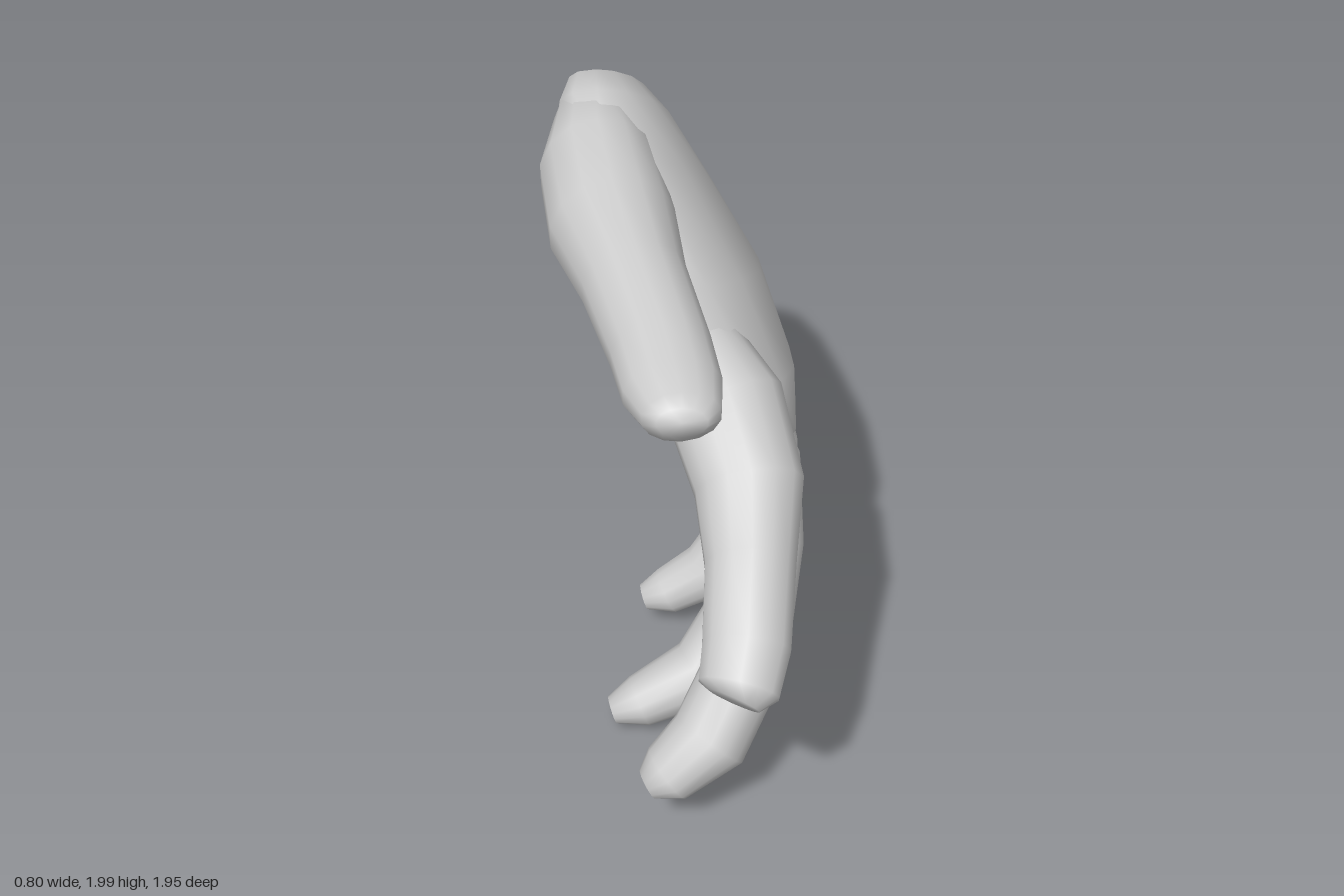
import * as THREE from 'three';

const SIDES = 14;
const material = new THREE.MeshStandardMaterial({ color: 0xcccccc });

// Skin a list of rings (arrays of SIDES points) and close both ends.
function loft(name, rings) {
  const pos = [], index = [];
  rings.forEach(r => r.forEach(p => pos.push(p.x, Math.max(p.y, 0), p.z)));
  for (let i = 0; i < rings.length - 1; i++) {
    for (let j = 0; j < SIDES; j++) {
      const k = (j + 1) % SIDES;
      const a = i * SIDES + j, b = i * SIDES + k;
      index.push(a, b, a + SIDES, b, b + SIDES, a + SIDES);
    }
  }
  [0, rings.length - 1].forEach((i, end) => {
    const c = new THREE.Vector3();
    rings[i].forEach(p => c.addScaledVector(p, 1 / SIDES));
    const centre = pos.length / 3;
    pos.push(c.x, Math.max(c.y, 0), c.z);
    for (let j = 0; j < SIDES; j++) {
      const a = i * SIDES + j, b = i * SIDES + (j + 1) % SIDES;
      if (end) index.push(a, b, centre);
      else index.push(b, a, centre);
    }
  });
  const geo = new THREE.BufferGeometry();
  geo.setAttribute('position', new THREE.Float32BufferAttribute(pos, 3));
  geo.setIndex(index);
  geo.computeVertexNormals();
  const mesh = new THREE.Mesh(geo, material);
  mesh.name = name;
  return mesh;
}

// A finger: stations of [x, y, z, half width, half depth] along its bone.
function finger(name, stations) {
  const pts = stations.map(s => new THREE.Vector3(s[0], s[1], s[2]));
  const xAxis = new THREE.Vector3(1, 0, 0);
  const rings = stations.map(([, , , w, h], i) => {
    const t = pts[Math.min(i + 1, pts.length - 1)].clone().sub(pts[Math.max(i - 1, 0)]).normalize();
    const side = t.clone().cross(xAxis).normalize();
    const normal = t.clone().cross(side);
    return Array.from({ length: SIDES }, (_, j) => {
      const a = j / SIDES * Math.PI * 2;
      return pts[i].clone().addScaledVector(side, w * Math.cos(a)).addScaledVector(normal, h * Math.sin(a));
    });
  });
  return loft(name, rings);
}

// The palm: each section runs from the thumb edge to the outer edge,
// [thumb x, y, z, outer x, y, z, depth of the back, depth of the inside].
function palm(sections) {
  const soften = v => Math.sign(v) * Math.pow(Math.abs(v), 0.85);
  return loft('palm', sections.map(([ax, ay, az, bx, by, bz, back, inside]) => {
    const A = new THREE.Vector3(ax, ay, az), B = new THREE.Vector3(bx, by, bz);
    return Array.from({ length: SIDES }, (_, j) => {
      const a = j / SIDES * Math.PI * 2;
      const s = Math.sin(a);
      const p = A.clone().lerp(B, (1 - soften(Math.cos(a))) / 2);
      p.x -= s > 0 ? inside * soften(s) : back * s;
      return p;
    });
  }));
}

export function createModel() {
  const hand = new THREE.Group();
  hand.name = 'hand';

  // Palm, from the rounded wrist to the webbing between the fingers
  hand.add(palm([
    [-0.22, 1.90, -0.70, -0.20, 1.78, -0.83, 0.05, 0.05],
    [-0.24, 1.97, -0.57, -0.18, 1.65, -0.905, 0.13, 0.11],
    [-0.23, 1.995, -0.40, -0.15, 1.47, -0.965, 0.19, 0.16],
    [-0.20, 1.90, -0.14, -0.10, 1.34, -0.935, 0.26, 0.21],
    [-0.04, 1.57, 0.04, 0.00, 1.17, -0.85, 0.29, 0.22],
    [0.12, 1.29, 0.18, 0.13, 0.95, -0.69, 0.245, 0.225],
    [0.20, 1.09, 0.24, 0.26, 0.80, -0.56, 0.15, 0.20],
    [0.22, 1.03, 0.14, 0.29, 0.74, -0.49, 0.07, 0.11],
  ]));

  // Thumb, with its pad running back to the wrist
  hand.add(finger('thumb', [
    [-0.22, 1.80, -0.68, 0.07, 0.07],
    [-0.24, 1.81, -0.48, 0.17, 0.13],
    [-0.23, 1.775, -0.30, 0.205, 0.18],
    [-0.19, 1.72, -0.06, 0.19, 0.19],
    [-0.13, 1.70, 0.20, 0.155, 0.155],
    [-0.06, 1.66, 0.48, 0.13, 0.145],
    [-0.03, 1.645, 0.65, 0.11, 0.14],
    [-0.01, 1.65, 0.77, 0.075, 0.11],
    [-0.01, 1.67, 0.825, 0.04, 0.07],
  ]));

  // Four fingers, curling towards the palm side
  hand.add(finger('indexFinger', [
    [0.02, 1.42, -0.08, 0.09, 0.10],
    [0.135, 1.24, 0.16, 0.17, 0.18],
    [0.20, 1.09, 0.37, 0.155, 0.165],
    [0.195, 0.975, 0.59, 0.135, 0.135],
    [0.175, 0.855, 0.81, 0.12, 0.13],
    [0.15, 0.79, 0.91, 0.105, 0.12],
    [0.135, 0.77, 0.935, 0.06, 0.08],
  ]));
  hand.add(finger('middleFinger', [
    [0.16, 1.18, -0.04, 0.10, 0.11],
    [0.22, 0.98, 0.10, 0.15, 0.155],
    [0.245, 0.78, 0.25, 0.145, 0.135],
    [0.20, 0.50, 0.475, 0.14, 0.125],
    [0.08, 0.31, 0.62, 0.13, 0.125],
    [-0.05, 0.22, 0.675, 0.11, 0.095],
    [-0.11, 0.19, 0.69, 0.06, 0.05],
  ]));
  hand.add(finger('ringFinger', [
    [0.19, 1.08, -0.21, 0.10, 0.11],
    [0.24, 0.87, -0.14, 0.14, 0.145],
    [0.265, 0.65, -0.07, 0.14, 0.13],
    [0.22, 0.37, 0.07, 0.135, 0.12],
    [0.08, 0.17, 0.17, 0.125, 0.12],
    [-0.13, 0.09, 0.22, 0.11, 0.085],
    [-0.22, 0.065, 0.235, 0.06, 0.045],
  ]));
  hand.add(finger('littleFinger', [
    [0.17, 1.03, -0.47, 0.11, 0.10],
    [0.255, 0.83, -0.43, 0.13, 0.13],
    [0.285, 0.67, -0.395, 0.12, 0.115],
    [0.26, 0.42, -0.335, 0.11, 0.105],
    [0.12, 0.21, -0.295, 0.10, 0.105],
    [-0.03, 0.13, -0.28, 0.085, 0.08],
    [-0.11, 0.105, -0.275, 0.045, 0.045],
  ]));

  return hand;
}
